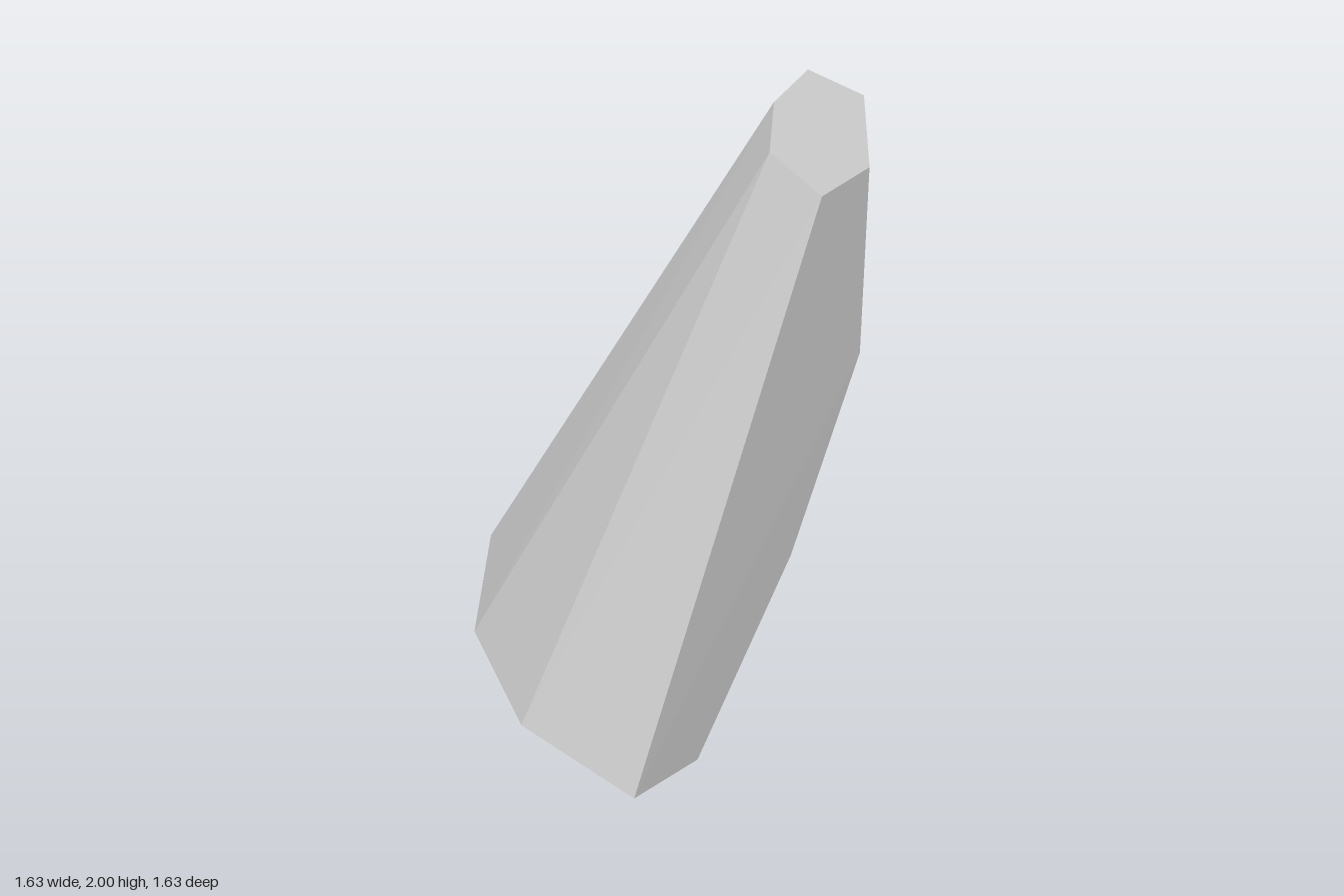
import * as THREE from 'three';
import { ConvexGeometry } from 'three/addons/geometries/ConvexGeometry.js';

// Places a list of [x, z] outline corners at height y.
const ring = (y, corners) => corners.map(([x, z]) => new THREE.Vector3(x, y, z));

export function createModel() {
  const group = new THREE.Group();
  group.name = 'facetedBlock';

  const stone = new THREE.MeshStandardMaterial({ color: 0xc8c8c8 });
  stone.name = 'light grey';

  const points = [
    // wide foot with a rounded front
    ...ring(0, [[-0.815, -0.815], [-0.70, -0.165], [-0.33, 0.35], [0.20, 0.71],
      [0.815, 0.815], [0.815, 0.475], [-0.475, -0.815]]),
    // bends of the overhanging back corner
    ...ring(0.61, [[0.815, -0.025], [0.025, -0.815]]),
    ...ring(1.275, [[0.815, -0.395], [0.395, -0.815]]),
    // small six-sided top
    ...ring(2, [[0.21, -0.815], [0.26, -0.575], [0.465, -0.315],
      [0.795, -0.215], [0.795, -0.47], [0.47, -0.815]]),
  ];

  // All facets are flat and the block is convex
  const block = new THREE.Mesh(new ConvexGeometry(points), stone);
  block.name = 'block';
  group.add(block);
  return group;
}
